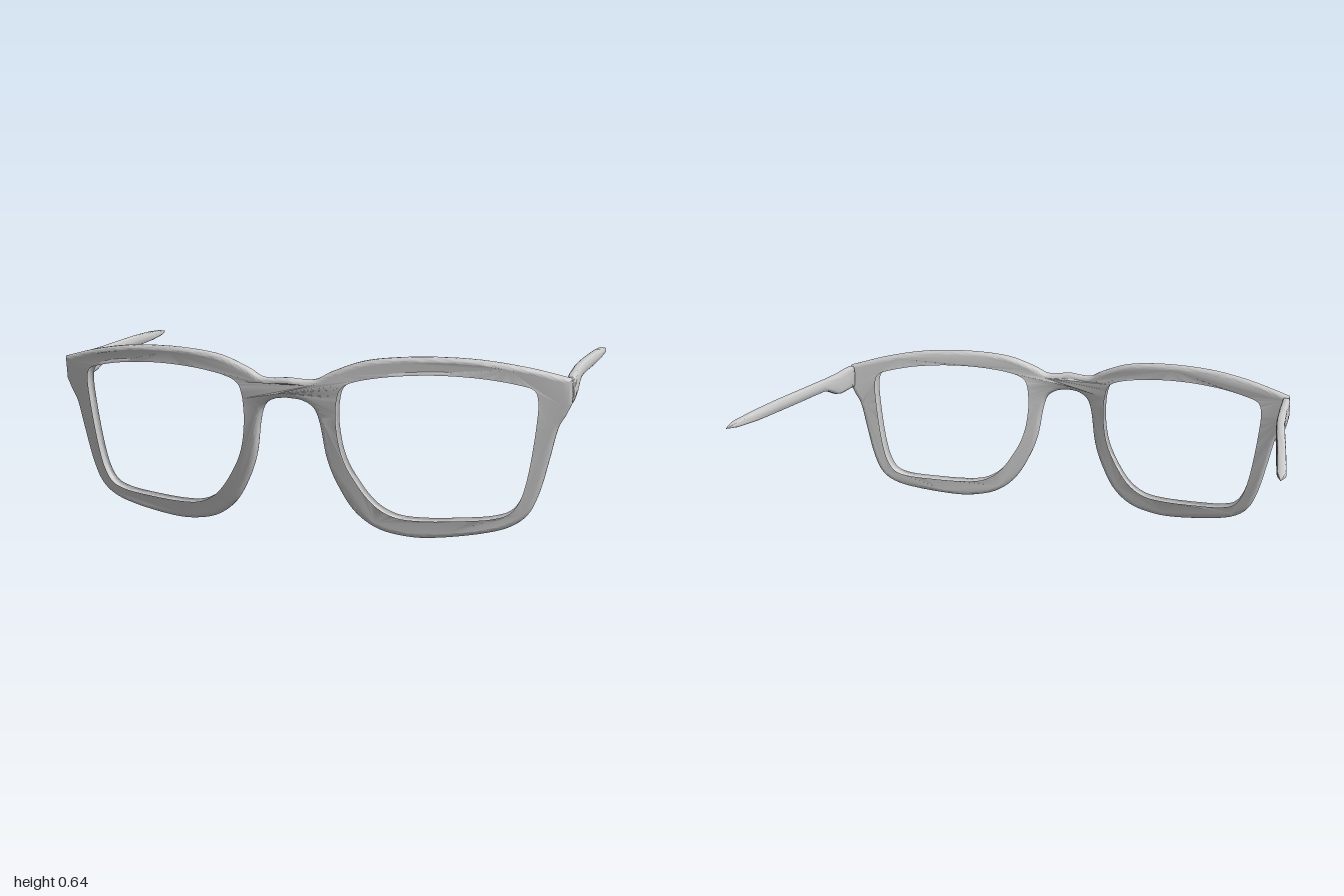
import * as THREE from 'three';
import { toCreasedNormals } from 'three/addons/utils/BufferGeometryUtils.js';

const material = new THREE.MeshStandardMaterial({ color: 0xcccccc, side: THREE.DoubleSide });
const vec = ([x, y]) => new THREE.Vector2(x, y);
const spline = (pts, n) => new THREE.SplineCurve(pts.map(vec)).getPoints(n);
const mirror = (pts) => pts.map((p) => new THREE.Vector2(-p.x, p.y)).reverse();

// Wrap of the front: z of the mid-surface against distance from the nose
const wrap = new THREE.CubicInterpolant(
  [0, 0.2, 0.45, 0.7, 0.94], [0.552, 0.516, 0.479, 0.434, 0.372], 1);
const frontZ = (x, y) => wrap.evaluate(Math.min(Math.hypot(x, 0.025), 0.94))[0] - 0.08 * (0.55 - y);

function frontFrame() {
  // Half outline: brow, end piece, then the rim back to the bridge
  const brow = spline([[0, 0.562], [0.09, 0.557], [0.15, 0.585], [0.25, 0.622], [0.36, 0.638],
    [0.5, 0.643], [0.65, 0.635], [0.8, 0.61], [0.94, 0.574]], 56);
  const rim = spline([[0.94, 0.49], [0.922, 0.45], [0.897, 0.4], [0.872, 0.29], [0.845, 0.18],
    [0.81, 0.1], [0.75, 0.052], [0.65, 0.024], [0.5, 0.004], [0.4, 0.005], [0.3, 0.03],
    [0.222, 0.09], [0.165, 0.185], [0.13, 0.28], [0.11, 0.4], [0.09, 0.458], [0.05, 0.485], [0, 0.492]], 110);
  const half = [...brow, new THREE.Vector2(0.94, 0.53), ...rim];
  const shape = new THREE.Shape([...half, ...mirror(half).slice(1, -1)]);

  // Lens openings
  const lens = spline([[0.152, 0.48], [0.17, 0.537], [0.225, 0.57], [0.35, 0.592], [0.5, 0.6],
    [0.65, 0.592], [0.77, 0.572], [0.83, 0.55], [0.85, 0.5], [0.845, 0.4], [0.825, 0.25], [0.8, 0.15],
    [0.762, 0.092], [0.7, 0.067], [0.6, 0.056], [0.45, 0.05], [0.35, 0.063], [0.27, 0.115],
    [0.2, 0.215], [0.165, 0.3], [0.15, 0.4], [0.152, 0.48]], 126).slice(0, -1);
  shape.holes.push(new THREE.Path(lens), new THREE.Path(mirror(lens)));

  const bevel = 0.017;
  const geo = new THREE.ExtrudeGeometry(shape, {
    depth: 0.048 - 2 * bevel, steps: 1, bevelEnabled: true, bevelSize: bevel,
    bevelThickness: bevel, bevelOffset: -bevel, bevelSegments: 5,
  });
  geo.translate(0, 0, -(0.048 - 2 * bevel) / 2);
  // Bend around the face and lean the bottom back
  const p = geo.attributes.position;
  for (let i = 0; i < p.count; i++) p.setZ(i, p.getZ(i) + frontZ(p.getX(i), p.getY(i)));
  const mesh = new THREE.Mesh(toCreasedNormals(geo, 0.7), material);
  mesh.name = 'frontFrame';
  return mesh;
}

function temple(side) {
  // Stations: z, centre x, half thickness, bottom y, top y
  const stations = [
    [0.35, 0.929, 0.012, 0.49, 0.569], [0.343, 0.929, 0.016, 0.484, 0.575], [0.28, 0.929, 0.016, 0.483, 0.575],
    [0.215, 0.928, 0.016, 0.484, 0.573], [0.18, 0.929, 0.016, 0.491, 0.573], [0.14, 0.93, 0.016, 0.508, 0.573],
    [0.105, 0.931, 0.016, 0.522, 0.573], [0.07, 0.932, 0.016, 0.528, 0.574], [0, 0.936, 0.016, 0.53, 0.575],
    [-0.12, 0.946, 0.016, 0.53, 0.575], [-0.25, 0.959, 0.016, 0.53, 0.574], [-0.4, 0.972, 0.016, 0.532, 0.57],
    [-0.52, 0.983, 0.015, 0.54, 0.562], [-0.58, 0.985, 0.001, 0.55, 0.552],
  ];
  const n = 20, pos = [], index = [];
  const round = (v) => Math.sign(v) * Math.abs(v) ** 0.5;
  for (const [z, x, w, low, high] of stations) {
    for (let i = 0; i < n; i++) {
      const a = (i / n) * Math.PI * 2;
      pos.push(side * (x + w * round(Math.cos(a))), (low + high) / 2 + ((high - low) / 2) * round(Math.sin(a)), z);
    }
  }
  const tri = (a, b, c) => (side > 0 ? index.push(a, c, b) : index.push(a, b, c));
  for (let s = 0; s < stations.length - 1; s++) {
    for (let i = 0; i < n; i++) {
      const a = s * n + i, b = s * n + ((i + 1) % n);
      tri(a, b, a + n);
      tri(b, b + n, a + n);
    }
  }
  // End caps
  const last = (stations.length - 1) * n;
  for (let i = 1; i < n - 1; i++) {
    tri(0, i + 1, i);
    tri(last, last + i, last + i + 1);
  }
  const geo = new THREE.BufferGeometry();
  geo.setAttribute('position', new THREE.Float32BufferAttribute(pos, 3));
  geo.setIndex(index);
  const mesh = new THREE.Mesh(toCreasedNormals(geo, 0.7), material);
  mesh.name = side > 0 ? 'leftTemple' : 'rightTemple';
  return mesh;
}

export function createModel() {
  const group = new THREE.Group();
  group.name = 'eyeglasses';
  group.add(frontFrame(), temple(1), temple(-1));
  return group;
}
